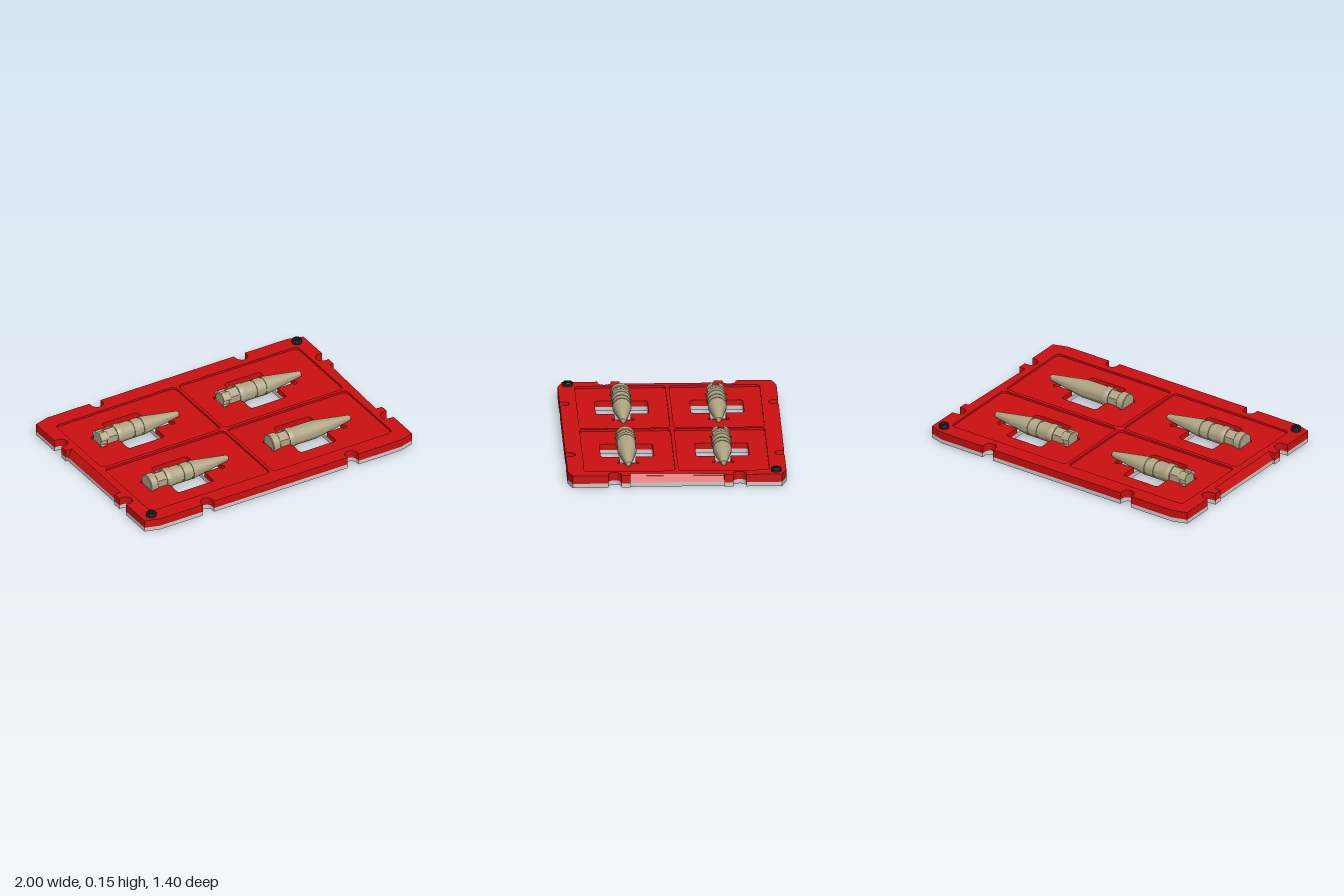
import * as THREE from 'three';
import { toCreasedNormals } from 'three/addons/utils/BufferGeometryUtils.js';

const mat = (color) => new THREE.MeshStandardMaterial({ color });
const GREY = mat(0xcccccc), RED = mat(0xcc1010), TAN = mat(0xb0a684), BLACK = mat(0x1c1f22);
const V = (x, y) => new THREE.Vector2(x, y);

// points along an arc, angles in degrees
function arc(cx, cy, r, a0, a1, n = 8) {
  return Array.from({ length: n + 1 }, (_, i) => {
    const a = THREE.MathUtils.degToRad(a0 + (a1 - a0) * i / n);
    return V(cx + r * Math.cos(a), cy + r * Math.sin(a));
  });
}

// mirror one quadrant of an outline into all four, then move it
function mirror4(q, cx = 0, cy = 0) {
  const f = (sx, sy) => q.map((p) => V(cx + sx * p.x, cy + sy * p.y));
  return [...f(1, 1), ...f(-1, 1).reverse(), ...f(-1, -1), ...f(1, -1).reverse()];
}

const roundRect = (cx, cy, hx, hy, r) => mirror4(arc(hx - r, hy - r, r, 0, 90, 6), cx, cy);
const circle = (x, y, r) => arc(x, y, r, 0, 345, 23);

function mesh(name, geometry, material) {
  const m = new THREE.Mesh(geometry, material);
  m.name = name;
  return m;
}

// flat layer between two heights, cut by holes
function layer(name, outline, holes, y0, y1, material, slanted) {
  const shape = new THREE.Shape(outline);
  shape.holes = holes.map((h) => new THREE.Path(h));
  const g = new THREE.ExtrudeGeometry(shape, { depth: y1 - y0, bevelEnabled: false });
  g.rotateX(-Math.PI / 2).translate(0, y0, 0);
  if (slanted) {
    // the inset part of each short side leans inward
    const p = g.attributes.position;
    for (let i = 0; i < p.count; i++) {
      const x = p.getX(i);
      if (Math.abs(Math.abs(x) - 0.985) < 0.001 && Math.abs(p.getZ(i)) < 0.302) {
        p.setX(i, Math.sign(x) * (0.985 - 0.03 * (p.getY(i) - 0.028) / 0.052));
      }
    }
  }
  return mesh(name, toCreasedNormals(g, 0.6), material);
}

// body turned around the x axis from [x, radius] pairs
function turned(name, profile, sides = 40) {
  const g = new THREE.LatheGeometry(profile.map(([x, r]) => V(r, x)), sides);
  g.rotateZ(-Math.PI / 2);
  return mesh(name, toCreasedNormals(g, 0.5), TAN);
}

function pin(grooved, castellated) {
  const g = new THREE.Group();
  // hexagonal neck with a flat on top
  const neck = turned('hexNeck', [[-0.225, 0], [-0.225, 0.061], [-0.14, 0.061], [-0.14, 0]], 6);
  neck.rotation.x = Math.PI / 6;
  g.add(neck);
  if (castellated) {
    // head split into lugs around a core
    g.add(turned('headCore', [[-0.268, 0], [-0.268, 0.048], [-0.21, 0.048], [-0.21, 0]]));
    for (let i = 0; i < 4; i++) {
      const a = i * 90 + 18;
      const s = new THREE.Shape([...arc(0, 0, 0.063, a, a + 54), ...arc(0, 0, 0.044, a + 54, a)]);
      const lug = new THREE.ExtrudeGeometry(s, { depth: 0.055, bevelEnabled: false });
      lug.rotateY(Math.PI / 2).translate(-0.27, 0, 0);
      g.add(mesh('headLug', toCreasedNormals(lug, 0.5), TAN));
    }
  } else {
    g.add(turned('head', [[-0.27, 0], [-0.27, 0.059], [-0.266, 0.063], [-0.219, 0.063],
      [-0.215, 0.059], [-0.215, 0]]));
  }
  // collar, barrel and tapering nose
  const groove = (x) => [[x, 0.06], [x, 0.055], [x + 0.012, 0.055], [x + 0.012, 0.06]];
  g.add(turned('barrel', [[-0.145, 0], [-0.145, 0.063], [-0.141, 0.065], [-0.101, 0.065],
    [-0.097, 0.063], [-0.097, 0.06], ...(grooved ? [...groove(-0.03), ...groove(0.04)] : []),
    [0.065, 0.06], [0.33, 0.019], [0.335, 0.015], [0.335, 0]]));
  return g;
}

function screw(x, z) {
  const r = [[0.008, 0.075], [0.033, 0.075], [0.033, 0.1], [0.029, 0.105], [0.016, 0.105],
    [0.016, 0.088], [0.008, 0.088], [0.008, 0.075]];
  const g = new THREE.LatheGeometry(r.map(([a, b]) => V(a, b)), 24);
  const m = mesh('screw', toCreasedNormals(g, 0.5), BLACK);
  m.position.set(x, 0, z);
  return m;
}

export function createModel() {
  const model = new THREE.Group();
  const cells = [];
  for (const x of [-0.495, 0.42]) for (const z of [-0.305, 0.305]) cells.push([x, z]);

  // plate outline with chamfered corners and round-bottomed edge notches
  const outline = mirror4([V(0.985, 0.3), V(1, 0.3), V(1, 0.358),
    ...arc(0.975, 0.4, 0.042, 270, 90), V(1, 0.442), V(1, 0.67), V(0.9, 0.7), V(0.582, 0.7),
    ...arc(0.54, 0.677, 0.042, 0, -180), V(0.498, 0.7)]);

  // small fastener holes in the base
  const dots = [[0, 0, 0.02]];
  for (const [x, z] of cells) for (const s of [-1, 1]) dots.push([x - 0.2, z + s * 0.05, 0.016]);
  for (const sx of [-1, 1]) for (const sz of [-1, 1]) {
    dots.push([sx * 0.92, sz * 0.51, 0.021], [sx * 0.81, sz * 0.62, 0.021]);
  }
  const corners = mirror4([V(0.93, 0.635)]);

  // base plate with windows
  const windows = cells.map(([x, z]) => roundRect(x, -z, 0.135, 0.17, 0.02));
  model.add(layer('basePlate', outline, [...windows,
    ...dots.map(([x, z, r]) => circle(x, -z, r)),
    ...corners.map((c) => circle(c.x, c.y, 0.026))], 0, 0.028, GREY));
  for (const [x, z, r] of dots) {
    const plug = mesh('fastener', new THREE.CylinderGeometry(r, r, 0.023, 20), GREY);
    plug.position.set(x, 0.0155, z);
    model.add(plug);
  }

  // tray floor with windows and dogbone-cornered slots
  const cut = [...arc(0.262, 0.054, 0.017, -54, 190, 14), V(0.135, 0.051),
    ...arc(0.115, 0.15, 0.02, 0, 90, 6)];
  const screws = [[0.93, -0.635], [-0.93, 0.635]];
  const bores = screws.map(([x, z]) => circle(x, -z, 0.01));
  model.add(layer('trayFloor', outline,
    [...cells.map(([x, z]) => mirror4(cut, x, -z)), ...bores], 0.028, 0.066, RED, true));

  // raised rim around four shallow pockets
  const pockets = mirror4([V(0.458, 0.302)]).map((c) => roundRect(c.x, c.y, 0.447, 0.29, 0.03));
  model.add(layer('trayRim', outline, [...pockets, ...bores], 0.066, 0.08, RED, true));

  for (const [x, z] of screws) model.add(screw(x, z));

  // pins lying in the slots
  for (const [x, z] of cells) {
    const p = pin(!(x > 0 && z > 0), z < 0);
    p.name = 'pin';
    p.position.set(x, 0.082, z);
    model.add(p);
  }
  return model;
}
